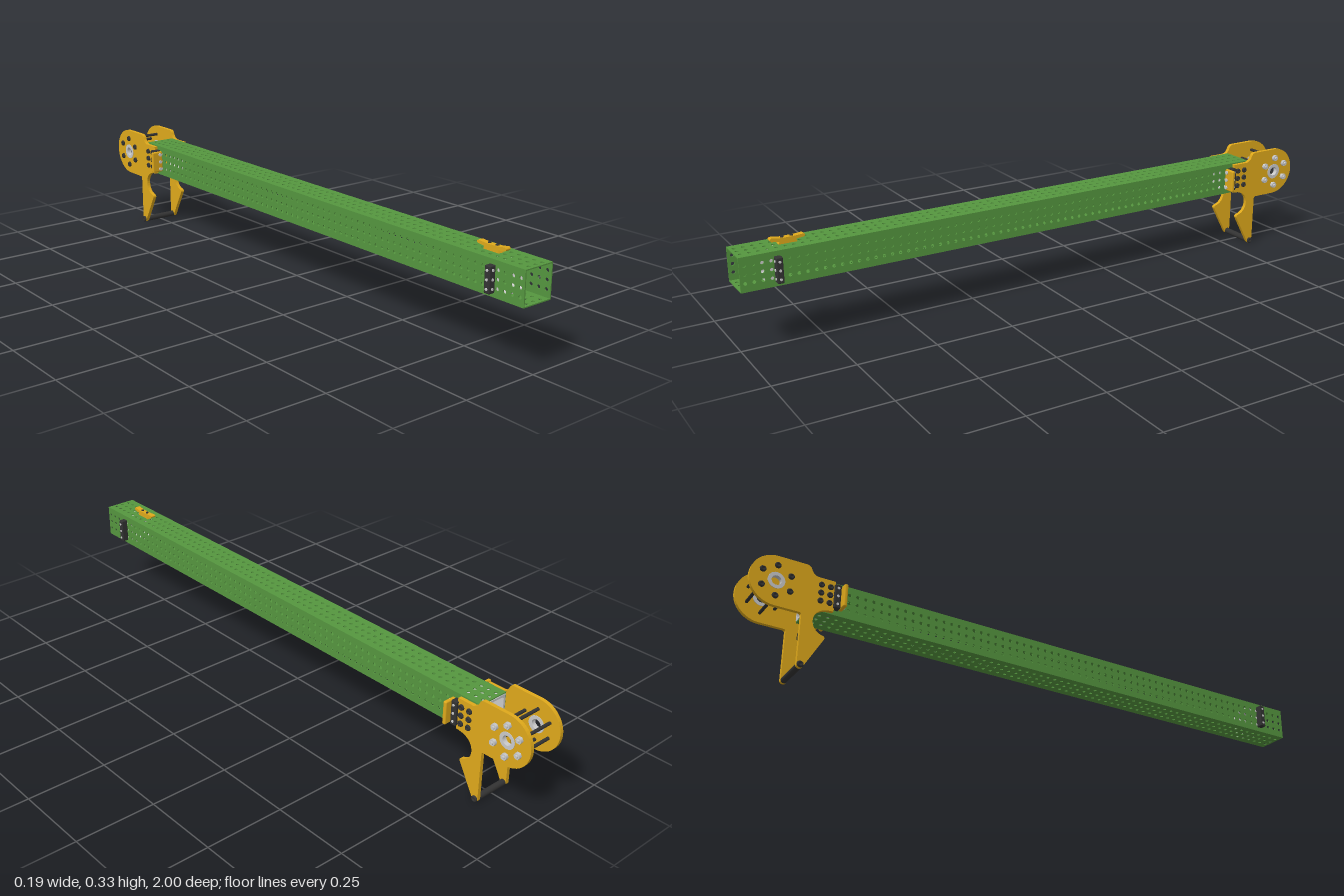
import * as THREE from 'three';
import { RoundedBoxGeometry } from 'three/addons/geometries/RoundedBoxGeometry.js';

const mat = (color) => new THREE.MeshStandardMaterial({ color });
const green = mat(0x55963f), yellow = mat(0xdfa91b), black = mat(0x333333), grey = mat(0xcccccc);

const CY = 0.2525, HALF = 0.0525, WALL = 0.0034, PITCH = 0.0262;
const BACK = -0.81, LENGTH = 1.81, HUB_Z = -0.92;

function add(parent, name, geo, material, x = 0, y = 0, z = 0) {
  const m = new THREE.Mesh(geo, material);
  m.name = name;
  m.position.set(x, y, z);
  parent.add(m);
  return m;
}

function circleHole(x, y, r) {
  const p = new THREE.Path();
  p.absarc(x, y, r, 0, Math.PI * 2, true);
  return p;
}

// Shape drawn as (-z, y), extruded along +x
function sideExtrude(shape, depth, curveSegments = 12) {
  return new THREE.ExtrudeGeometry(shape, { depth, bevelEnabled: false, curveSegments }).rotateY(Math.PI / 2);
}

// Cylinder lying along x, or along z
const rodX = (r, len, sides = 20) => new THREE.CylinderGeometry(r, r, len, sides).rotateZ(Math.PI / 2);
const rodZ = (r, len, sides = 14) => new THREE.CylinderGeometry(r, r, len, sides).rotateX(Math.PI / 2);

function roundedRect(w, h, r, C = THREE.Shape) {
  const s = new C(), a = w / 2, b = h / 2;
  s.moveTo(-a + r, -b);
  s.lineTo(a - r, -b).quadraticCurveTo(a, -b, a, -b + r);
  s.lineTo(a, b - r).quadraticCurveTo(a, b, a - r, b);
  s.lineTo(-a + r, b).quadraticCurveTo(-a, b, -a, b - r);
  s.lineTo(-a, -b + r).quadraticCurveTo(-a, -b, -a + r, -b);
  return s;
}

// Domed screw head on the outside, pointing along sign * x
function dome(parent, name, material, r, h, sign, x, y, z) {
  const geo = new THREE.LatheGeometry([[r, 0], [r, h * 0.45], [r * 0.8, h * 0.85], [r * 0.45, h],
    [r * 0.42, h * 0.5], [0, h * 0.5]].map(([a, b]) => new THREE.Vector2(a, b)), 16);
  const m = add(parent, name, geo, material, x, y, z);
  m.rotation.z = -sign * Math.PI / 2;
}

// Square tube: four perforated walls in a pinwheel
function buildTube() {
  const tube = new THREE.Group();
  tube.name = 'perforatedTube';
  const s = new THREE.Shape();
  const top = HALF - WALL;
  s.moveTo(0, -HALF).lineTo(LENGTH, -HALF).lineTo(LENGTH, top).lineTo(0, top).closePath();
  for (let i = 0; i < 69; i++)
    for (let j = -1; j <= 1; j++)
      s.holes.push(circleHole(0.0142 + i * PITCH, j * PITCH, 0.0055));
  const geo = sideExtrude(s, WALL, 6).translate(HALF - WALL, 0, BACK + LENGTH);
  for (let k = 0; k < 4; k++) add(tube, 'tubeWall', geo, green).rotation.z = k * Math.PI / 2;
  tube.position.y = CY;
  return tube;
}

// Square sleeve inside the tube
function addSleeve(parent, name, z, depth) {
  const s = roundedRect(0.098, 0.098, 0.002);
  s.holes.push(roundedRect(0.084, 0.084, 0.008, THREE.Path));
  add(parent, name, new THREE.ExtrudeGeometry(s, { depth, bevelEnabled: false }), grey, 0, CY, z);
}

// Side plate with round head, neck and hooked leg
function plateShape() {
  const s = new THREE.Shape(), hub = -HUB_Z, R = 0.08;
  s.moveTo(0.742, 0.203);
  s.lineTo(0.742, 0.302).lineTo(0.797, 0.302);
  s.quadraticCurveTo(0.812, 0.305, 0.818, 0.322);
  s.quadraticCurveTo(0.822, CY + R, 0.834, CY + R);
  s.lineTo(hub, CY + R);
  s.absarc(hub, CY, R, Math.PI / 2, -Math.PI / 2, true);
  s.lineTo(0.846, CY - R);
  s.quadraticCurveTo(0.838, CY - R, 0.838, CY - R - 0.008);
  s.lineTo(0.838, 0.012);
  s.absarc(0.828, 0.012, 0.01, 0, -Math.PI * 0.83, true);
  s.lineTo(0.763, 0.108);
  s.quadraticCurveTo(0.762, 0.115, 0.769, 0.117);
  s.bezierCurveTo(0.81, 0.125, 0.815, 0.18, 0.776, 0.197);
  s.quadraticCurveTo(0.765, 0.202, 0.742, 0.203);
  s.holes.push(circleHole(hub, CY, 0.026));
  return s;
}

// Hex-sided bearing ring seated in the plate
function bearingGeometry() {
  const s = new THREE.Shape();
  s.absarc(0, 0, 0.026, 0, Math.PI * 2, false);
  s.holes.push(circleHole(0, 0, 0.015));
  return sideExtrude(s, 0.015);
}

// Angle block with screws on its front and outer faces
function addBlock(parent, side, z, y) {
  add(parent, 'angleBlock', new RoundedBoxGeometry(0.022, 0.078, 0.02, 2, 0.003), black, side * 0.064, y, z);
  for (let j = -1; j <= 1; j++) {
    add(parent, 'blockScrew', rodZ(0.004, 0.003), grey, side * 0.064, y + j * PITCH, z + 0.0105);
    add(parent, 'blockScrew', rodX(0.004, 0.003, 14), grey, side * 0.0755, y + j * PITCH, z);
  }
  add(parent, 'screwTip', rodX(0.004, 0.014, 14), black, side * 0.047, y, z);
}

export function createModel() {
  const model = new THREE.Group();
  model.name = 'boomArm';
  model.add(buildTube());
  addSleeve(model, 'rearSleeve', BACK - 0.002, 0.085);
  addSleeve(model, 'frontSleeve', 0.865, 0.05);

  const plate = sideExtrude(plateShape(), 0.012);
  const bearing = bearingGeometry();
  const hexBolts = [...Array(6).keys()].map((i) => {
    const a = Math.PI / 2 + i * Math.PI / 3;
    return [CY + 0.049 * Math.sin(a), HUB_Z + 0.049 * Math.cos(a)];
  });

  for (const side of [1, -1]) {
    const g = new THREE.Group();
    g.name = side > 0 ? 'leftHook' : 'rightHook';
    model.add(g);
    add(g, 'sidePlate', plate, yellow, side > 0 ? 0.0545 : -0.0665);
    add(g, 'bearing', bearing, grey, side > 0 ? 0.053 : -0.068, CY, HUB_Z);

    // Black screws holding the plate to the tube
    for (const z of [-0.757, -0.785])
      for (let j = -1; j <= 1; j++) dome(g, 'plateScrew', black, 0.009, 0.007, side, side * 0.0665, CY + j * PITCH, z);

    // Flange wing in front of the rear block
    addBlock(g, side, -0.735, CY);
    add(g, 'flangeWing', new RoundedBoxGeometry(0.041, 0.074, 0.012, 3, 0.0045), yellow, side * 0.0735, CY, -0.718);
    for (let j = -1; j <= 1; j++)
      add(g, 'flangeScrew', rodZ(0.006, 0.005), grey, side * 0.064, CY + j * PITCH, -0.7105);

    // Blocks near the front end of the tube
    addBlock(g, side, 0.89, CY);

    dome(g, 'footCap', black, 0.01, 0.006, side, side * 0.0665, 0.012, -0.828);
  }

  // Ring of rods between the plates: nuts on the left, domed heads on the right
  for (const [y, z] of hexBolts) {
    add(model, 'crossRod', rodX(0.005, 0.135), black, 0, y, z);
    add(model, 'nut', rodX(0.0105, 0.01, 6), grey, 0.0715, y, z);
    add(model, 'boltTip', rodX(0.005, 0.006), grey, 0.0785, y, z);
    dome(model, 'boltHead', black, 0.0095, 0.007, -1, -0.0665, y, z);
  }
  add(model, 'footBar', rodX(0.0098, 0.112), black, 0, 0.0115, -0.828);

  // Cleat on top near the front
  const c = new THREE.Shape();
  c.moveTo(-0.868, 0.305);
  c.lineTo(-0.812, 0.305).lineTo(-0.815, 0.313).lineTo(-0.792, 0.316);
  c.quadraticCurveTo(-0.784, 0.321, -0.792, 0.325);
  c.lineTo(-0.82, 0.323).lineTo(-0.86, 0.323).lineTo(-0.888, 0.327);
  c.quadraticCurveTo(-0.897, 0.321, -0.888, 0.316);
  c.lineTo(-0.865, 0.313).closePath();
  add(model, 'cleat', sideExtrude(c, 0.018), yellow, -0.009);
  for (const z of [0.826, 0.854])
    add(model, 'cleatScrew', new THREE.CylinderGeometry(0.005, 0.005, 0.003, 14), black, 0, 0.324, z);

  return model;
}
